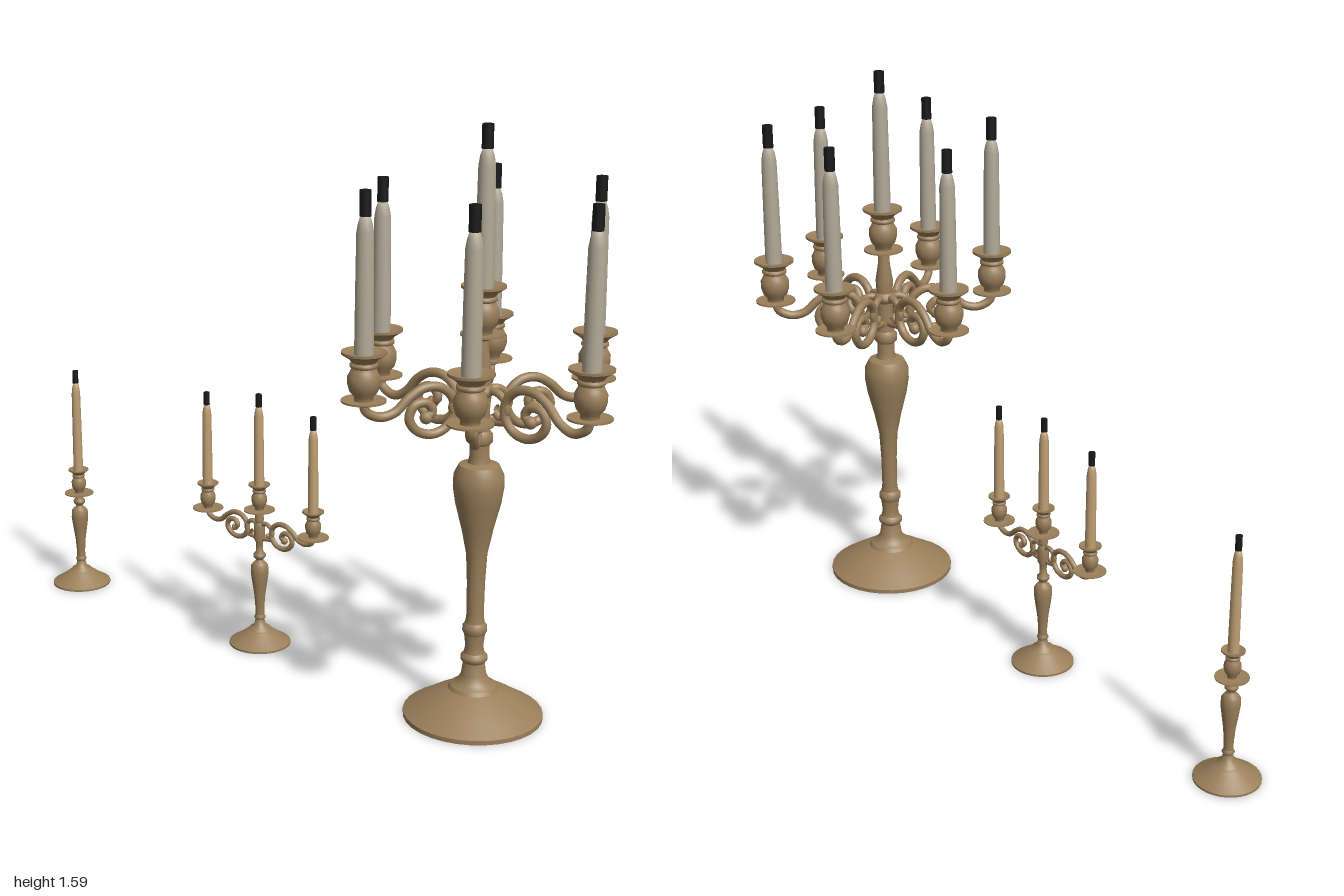
import * as THREE from 'three';

const mat = (name, color, double) => {
  const m = new THREE.MeshStandardMaterial({ color });
  m.name = name;
  if (double) m.side = THREE.DoubleSide;
  return m;
};

export function createModel() {
  const brass = mat('brass', 0x9a7f5a, true);
  const ivoryWax = mat('ivoryWax', 0xb3a998);
  const tanWax = mat('tanWax', 0xbf9f74);
  const wickBlack = mat('wickBlack', 0x181818);
  const feltRed = mat('feltRed', 0x5e2a30);

  const add = (parent, name, geo, material) => {
    const mesh = new THREE.Mesh(geo, material);
    mesh.name = name;
    parent.add(mesh);
    return mesh;
  };

  // Each profile point is [radius, height]
  const lathe = (points, segments = 32) =>
    new THREE.LatheGeometry(points.map(([r, y]) => new THREE.Vector2(r, y)), segments);

  // Runs of points split at corners, so edges between runs stay sharp
  const turned = (parent, name, runs) => {
    const group = new THREE.Group();
    group.name = name;
    runs.forEach((run, i) => add(group, name + 'Section' + (i + 1), lathe(run), brass));
    parent.add(group);
    return group;
  };

  // Drip plate, cup with flared rim, tapered candle and wick, resting on y = 0
  const candleHolder = (parent, name, x, y, z, o) => {
    const g = new THREE.Group();
    g.name = name;
    g.position.set(x, y, z);
    const { plate: p, rim: r, cupH: h, candleR: c, candleTop: t, wickR: w, wickTop: wt } = o;
    turned(g, 'dripPlate', [
      [[0, -0.1 * h], [0.3 * p, -0.1 * h], [0.6 * p, -0.05 * h], [p, 0]],
      [[p, 0], [p, 0.035 * h]],
      [[p, 0.035 * h], [0.55 * p, 0], [0.35 * p, 0.03 * h]],
    ]);
    turned(g, 'candleCup', [
      [[0.42 * r, 0.02 * h], [0.42 * r, 0.1 * h], [0.62 * r, 0.2 * h], [0.72 * r, 0.35 * h],
        [0.72 * r, 0.5 * h], [0.6 * r, 0.6 * h], [0.54 * r, 0.67 * h]],
      [[0.54 * r, 0.67 * h], [0.62 * r, 0.7 * h], [0.62 * r, 0.75 * h], [0.54 * r, 0.78 * h]],
      [[0.54 * r, 0.78 * h], [0.65 * r, 0.85 * h], [r, 0.95 * h]],
      [[r, 0.95 * h], [r, h]],
      [[r, h], [0.6 * r, 0.94 * h], [0, 0.94 * h]],
    ]);
    const span = t - h;
    add(g, 'candle', lathe([[c, 0.9 * h], [0.94 * c, h + 0.5 * span], [0.88 * c, t - 0.12 * span],
      [0.72 * c, t - 0.05 * span], [0.5 * c, t], [0, t]], 20), o.wax);
    const wick = add(g, 'wick', new THREE.CylinderGeometry(w, w, wt - t, 12), wickBlack);
    wick.position.y = (t + wt) / 2;
    parent.add(g);
  };

  // Scrolled arm along +x; points are [distance from axis, height]
  const scrollArm = (parent, angle, reach, baseY, scale, tubeR, drop = 0) => {
    const g = new THREE.Group();
    g.name = 'scrollArm';
    g.rotation.y = -angle;
    g.position.y = baseY;
    const k = reach / 0.325;
    const tube = (name, pts, n, radius) => {
      const curve = new THREE.CatmullRomCurve3(
        pts.map(([x, y]) => new THREE.Vector3(x * k, y * scale, 0)));
      add(g, name, new THREE.TubeGeometry(curve, n, radius, 10, false), brass);
      return curve;
    };
    const scroll = tube('mainScroll', [[0.325, -drop], [0.318, -0.025 - drop], [0.28, -0.043 - drop],
      [0.24, -0.035 - drop / 2], [0.2, 0], [0.16, 0.022], [0.115, 0.02], [0.08, -0.01], [0.075, -0.055],
      [0.1, -0.09], [0.14, -0.102], [0.18, -0.088], [0.2, -0.055], [0.185, -0.022],
      [0.152, -0.018], [0.135, -0.042], [0.153, -0.057]], 90, tubeR);
    const tip = add(g, 'scrollTip', new THREE.SphereGeometry(tubeR * 1.35, 12, 8), brass);
    tip.position.copy(scroll.getPoint(1));
    // Small bracket joining the scroll to the stem
    tube('stemBracket', [[0.01, -0.01], [0.04, 0.005], [0.07, -0.01], [0.08, -0.04],
      [0.062, -0.062], [0.045, -0.05]], 30, tubeR * 0.85);
    tube('lowerBracket', [[0.01, -0.08], [0.045, -0.075], [0.082, -0.07]], 12, tubeR * 0.85);
    parent.add(g);
  };

  const newStand = (name, x) => {
    const g = new THREE.Group();
    g.name = name;
    g.position.x = x;
    return g;
  };

  // Round foot and baluster used by both short stands
  const shortStem = (g) => {
    turned(g, 'foot', [
      [[0, 0.001], [0.09, 0.001]],
      [[0.09, 0.001], [0.09, 0.007]],
      [[0.09, 0.007], [0.065, 0.022], [0.038, 0.042]],
      [[0.038, 0.042], [0.03, 0.046], [0.03, 0.05], [0.017, 0.058], [0.013, 0.075]],
    ]);
    turned(g, 'baluster', [
      [[0.013, 0.075], [0.017, 0.082], [0.013, 0.09]],
      [[0.013, 0.09], [0.013, 0.11], [0.016, 0.15], [0.022, 0.19], [0.026, 0.22], [0.025, 0.242],
        [0.018, 0.252]],
      [[0.018, 0.252], [0.011, 0.256], [0.011, 0.262]],
      [[0.011, 0.262], [0.018, 0.27], [0.018, 0.277], [0.011, 0.285], [0.01, 0.302]],
    ]);
  };

  const model = new THREE.Group();
  model.name = 'candlestickSet';
  const small = { plate: 0.045, rim: 0.031, cupH: 0.08, candleR: 0.015, wickR: 0.009, wax: tanWax };

  // Single candlestick
  const single = newStand('singleCandlestick', -0.91);
  shortStem(single);
  const felt = add(single, 'feltPad', new THREE.CircleGeometry(0.09, 32), feltRed);
  felt.rotation.x = Math.PI / 2;
  candleHolder(single, 'centreHolder', 0, 0.3, 0, { ...small, candleTop: 0.36, wickTop: 0.4 });
  model.add(single);

  // Three-light candelabrum
  const triple = newStand('threeLightCandelabrum', -0.152);
  shortStem(triple);
  turned(triple, 'upperStem', [
    [[0.01, 0.3], [0.011, 0.315], [0.016, 0.325], [0.016, 0.365], [0.011, 0.375]],
    [[0.011, 0.375], [0.014, 0.385], [0.009, 0.412]],
  ]);
  candleHolder(triple, 'centreHolder', 0, 0.412, 0, { ...small, candleTop: 0.31, wickTop: 0.348 });
  for (const s of [1, -1]) {
    scrollArm(triple, s > 0 ? 0 : Math.PI, 0.202, 0.372, 0.58, 0.0075);
    candleHolder(triple, 'sideHolder', s * 0.202, 0.374, 0, { ...small, candleTop: 0.318, wickTop: 0.356 });
  }
  model.add(triple);

  // Seven-light candelabrum
  const large = newStand('sevenLightCandelabrum', 0.609);
  turned(large, 'foot', [
    [[0, 0], [0.188, 0]],
    [[0.188, 0], [0.188, 0.012]],
    [[0.188, 0.012], [0.15, 0.035], [0.11, 0.06], [0.068, 0.08]],
    [[0.068, 0.08], [0.062, 0.09]],
    [[0.062, 0.09], [0.045, 0.1], [0.034, 0.12], [0.029, 0.155]],
  ]);
  turned(large, 'baluster', [
    [[0.029, 0.155], [0.036, 0.163], [0.036, 0.173], [0.028, 0.182]],
    [[0.028, 0.182], [0.024, 0.2], [0.028, 0.235]],
    [[0.028, 0.235], [0.033, 0.245], [0.033, 0.258], [0.026, 0.268]],
    [[0.026, 0.268], [0.023, 0.29], [0.024, 0.38], [0.028, 0.46], [0.042, 0.53], [0.06, 0.6],
      [0.067, 0.645], [0.066, 0.68], [0.053, 0.707]],
    [[0.053, 0.707], [0.03, 0.713]],
  ]);
  turned(large, 'upperStem', [
    [[0.03, 0.713], [0.026, 0.73], [0.026, 0.762]],
    [[0.026, 0.762], [0.034, 0.77], [0.034, 0.79], [0.026, 0.8]],
    [[0.026, 0.8], [0.024, 0.83], [0.024, 0.89]],
    [[0.024, 0.89], [0.034, 0.9], [0.034, 0.912], [0.024, 0.922]],
    [[0.024, 0.922], [0.026, 0.96], [0.018, 1.01], [0.016, 1.055]],
  ]);
  const big = { plate: 0.058, rim: 0.058, cupH: 0.13, candleR: 0.025, wickR: 0.015, wax: ivoryWax };
  candleHolder(large, 'centreHolder', 0, 1.053, 0, { ...big, candleTop: 0.475, wickTop: 0.537 });
  for (let i = 0; i < 6; i++) {
    const a = (i * Math.PI) / 3;
    const drop = i % 3 === 0 ? 0.018 : 0; // the two arms along x hang slightly lower
    scrollArm(large, a, 0.325, 0.905, 1, 0.0125, drop);
    candleHolder(large, 'armHolder', 0.325 * Math.cos(a), 0.908 - drop, 0.325 * Math.sin(a),
      { ...big, candleTop: 0.47, wickTop: 0.535 });
  }
  model.add(large);

  return model;
}
